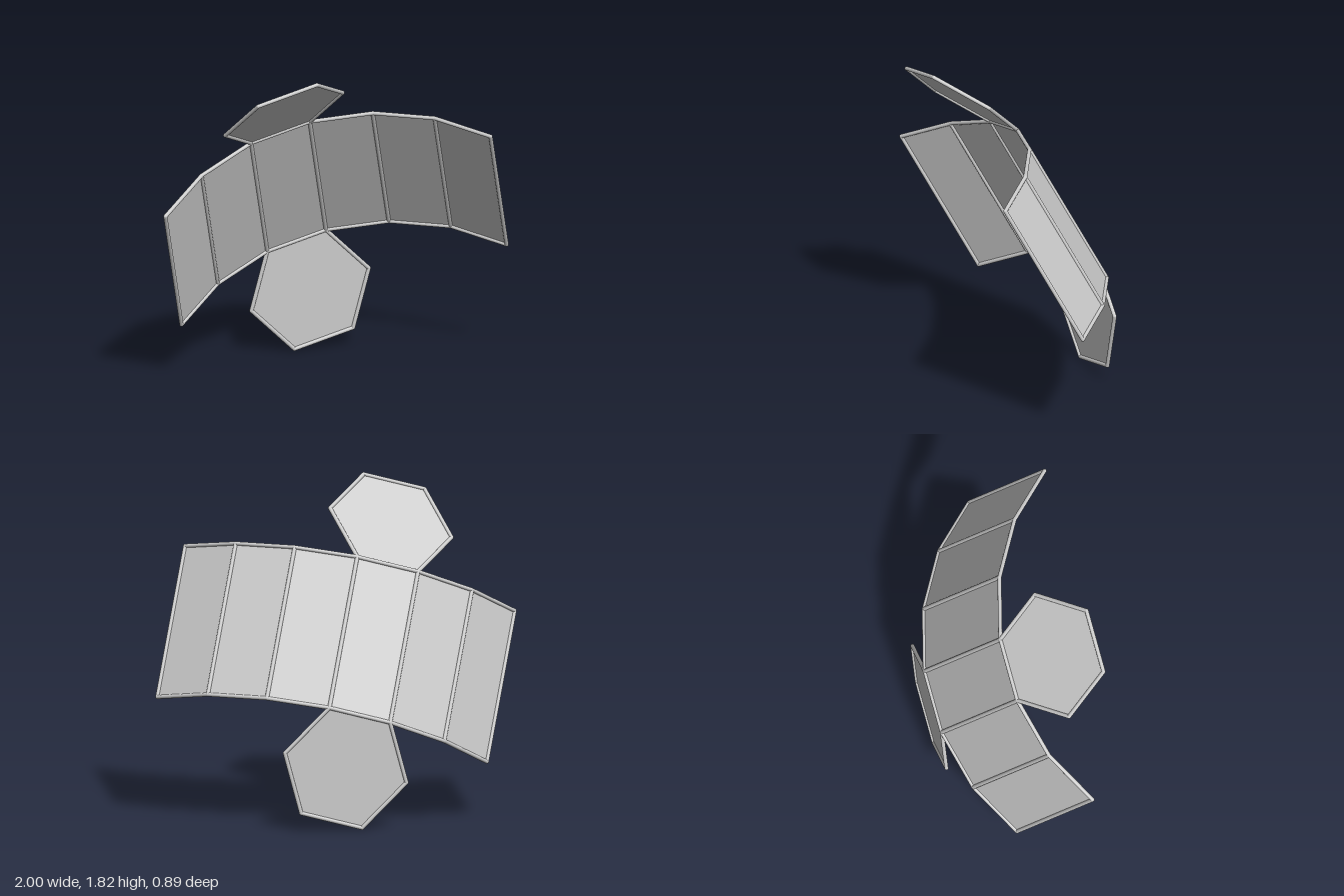
import * as THREE from 'three';

const S = 0.345;                                   // hexagon side and panel width
const L = 0.87;                                    // panel length
const R = 0.011;                                   // edge rod radius
const CAP_FOLD = THREE.MathUtils.degToRad(25);
const SIDE_FOLD = THREE.MathUtils.degToRad(50 / 3);

const faceMaterial = new THREE.MeshStandardMaterial({ color: 0xcccccc, side: THREE.DoubleSide });
const rodMaterial = new THREE.MeshStandardMaterial({ color: 0xcccccc });

// Thin sheet in the local xy plane
function addSheet(parent, points, name) {
  const sheet = new THREE.Mesh(new THREE.ShapeGeometry(new THREE.Shape(points)), faceMaterial);
  sheet.name = name;
  parent.add(sheet);
}

// Round rod between two points, with a ball at its far end
function addRod(parent, a, b) {
  const from = new THREE.Vector3(a.x, a.y, 0);
  const dir = new THREE.Vector3(b.x, b.y, 0).sub(from);
  const rod = new THREE.Mesh(new THREE.CylinderGeometry(R, R, dir.length(), 12, 1, true), rodMaterial);
  rod.name = 'edgeRod';
  rod.position.copy(from).addScaledVector(dir, 0.5);
  rod.quaternion.setFromUnitVectors(new THREE.Vector3(0, 1, 0), dir.clone().normalize());
  const ball = new THREE.Mesh(new THREE.SphereGeometry(R, 12, 8), rodMaterial);
  ball.name = 'cornerBall';
  ball.position.set(b.x, b.y, 0);
  parent.add(rod, ball);
}

// Hexagon hinged on its edge along x; dir = 1 extends up, -1 down
function makeCap(dir, name) {
  const cap = new THREE.Group();
  cap.name = name;
  const points = [];
  for (let i = 0; i < 6; i++) {
    const a = (i - 2) * Math.PI / 3;
    points.push(new THREE.Vector2(S * Math.cos(a), dir * (S * Math.sin(a) + S * Math.sqrt(3) / 2)));
  }
  addSheet(cap, points, name + 'Face');
  points.forEach((p, i) => addRod(cap, p, points[(i + 1) % 6]));
  return cap;
}

// Rectangle hinged on its long edge at x = 0; dir = 1 extends to +x, -1 to -x
function makePanel(dir, name) {
  const panel = new THREE.Group();
  panel.name = name;
  const x = dir * S;
  const points = [[0, 0], [x, 0], [x, L], [0, L]].map(([px, py]) => new THREE.Vector2(px, py));
  addSheet(panel, points, name + 'Face');
  for (let i = 0; i < 3; i++) addRod(panel, points[i], points[i + 1]);
  return panel;
}

// Chain of panels, each folded forward from the previous one
function addWing(parent, startX, dir, count, name) {
  let hinge = parent;
  for (let i = 0; i < count; i++) {
    const panel = makePanel(dir, name + (i + 1));
    panel.position.x = i === 0 ? startX : dir * S;
    panel.rotation.y = -dir * SIDE_FOLD;
    hinge.add(panel);
    hinge = panel;
  }
}

export function createModel() {
  const model = new THREE.Group();
  model.name = 'unfoldingHexagonalPrism';

  const net = new THREE.Group();
  net.name = 'net';
  net.position.set(-0.052, 0.633, -0.4345);
  net.rotation.z = Math.PI / 12;
  model.add(net);

  // Lower cap stands upright below the main hinge
  net.add(makeCap(-1, 'lowerCap'));

  // Middle panel leans forward and carries everything else
  const body = new THREE.Group();
  body.name = 'body';
  body.rotation.x = CAP_FOLD;
  net.add(body);

  const middle = makePanel(1, 'middlePanel');
  middle.position.x = -S / 2;
  addRod(middle, new THREE.Vector2(0, 0), new THREE.Vector2(0, L));
  body.add(middle);

  addWing(body, S / 2, 1, 3, 'leftPanel');
  addWing(body, -S / 2, -1, 2, 'rightPanel');

  // Upper cap folds further forward
  const upperCap = makeCap(1, 'upperCap');
  upperCap.position.y = L;
  upperCap.rotation.x = CAP_FOLD;
  body.add(upperCap);

  return model;
}
